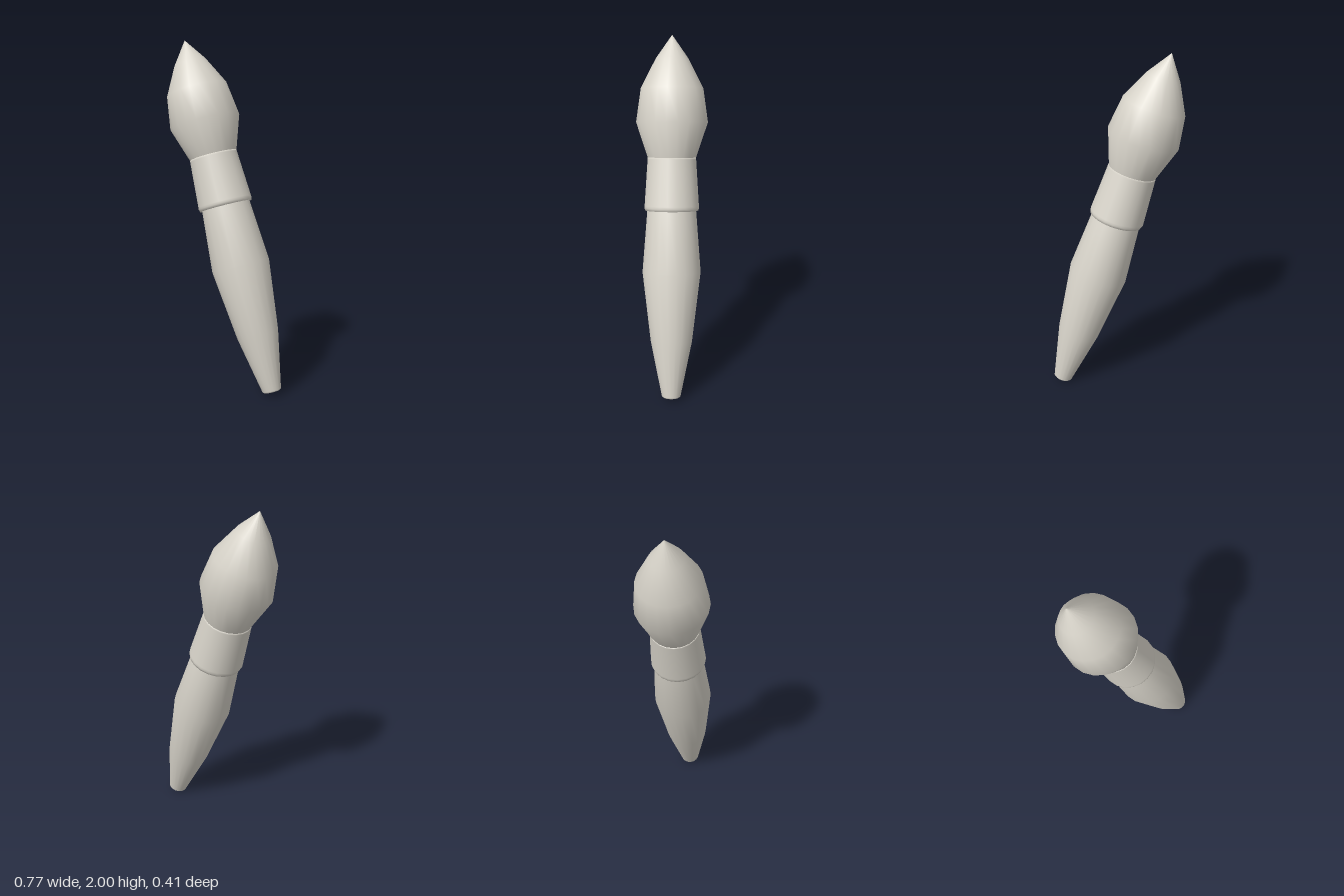
import * as THREE from 'three';

export function createModel() {
  const clay = new THREE.MeshStandardMaterial({ color: 0xd8d4ca });
  clay.name = 'warm grey';

  const brush = new THREE.Group();
  brush.name = 'paintbrush';

  // Each part is turned around the brush axis; profile is [radius, height]
  const turn = (name, profile) => {
    const points = profile.map(([r, h]) => new THREE.Vector2(r, h));
    const mesh = new THREE.Mesh(new THREE.LatheGeometry(points, 20), clay);
    mesh.name = name;
    brush.add(mesh);
  };

  // Tapered handle, swelling below the ferrule and narrowing into it
  turn('handle', [
    [0, -0.008], [0.046, -0.006], [0.055, 0.002], [0.121, 0.33],
    [0.169, 0.735], [0.141, 1.093], [0.115, 1.25], [0, 1.25],
  ]);

  // Hollow ferrule with a rounded lower lip
  turn('ferrule', [
    [0.12, 1.26], [0.142, 1.11], [0.146, 1.09], [0.153, 1.088],
    [0.158, 1.103], [0.157, 1.115], [0.14, 1.38], [0.139, 1.39], [0.12, 1.392],
  ]);

  // Pointed bristle head
  turn('bristles', [
    [0.128, 1.36], [0.138, 1.388], [0.206, 1.59], [0.179, 1.782],
    [0.094, 1.948], [0, 2.082],
  ]);

  // Lean the axis from the handle end to the bristle tip
  const base = new THREE.Vector3(0.333, 0.022, -0.067);
  const tip = new THREE.Vector3(-0.31, 2, 0.024);
  brush.quaternion.setFromUnitVectors(
    new THREE.Vector3(0, 1, 0), tip.clone().sub(base).normalize());
  brush.position.copy(base);

  const model = new THREE.Group();
  model.name = 'leaningPaintbrush';
  model.add(brush);
  return model;
}
